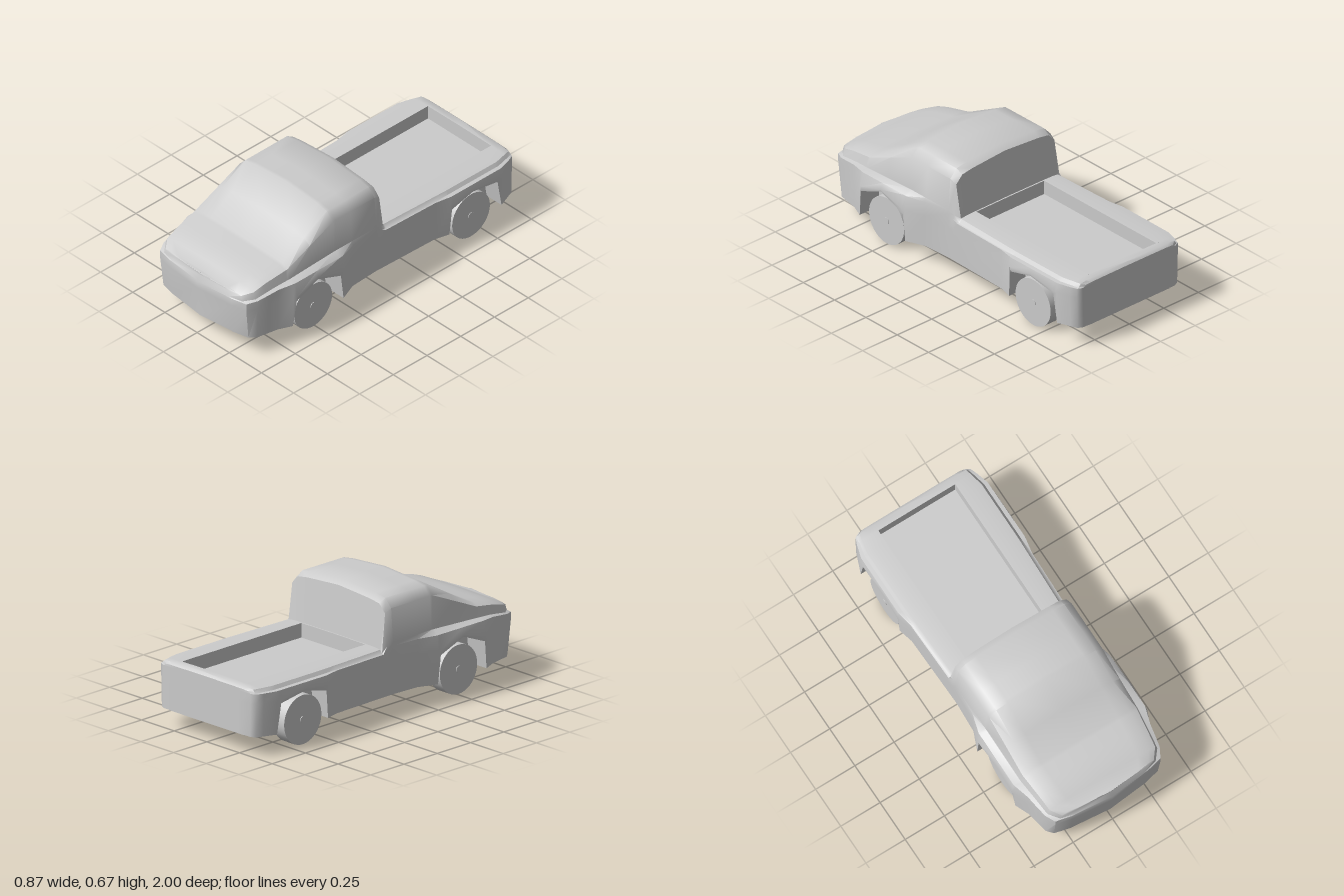
import * as THREE from 'three';
import { toCreasedNormals } from 'three/addons/utils/BufferGeometryUtils.js';

const FLOOR = 0.108, WELL_X = 0.29;
const BED = { x: 0.245, y: 0.3, front: -0.05, back: -0.945 };
const grey = new THREE.MeshStandardMaterial({ color: 0xcccccc });

// Outline curves along the truck, as [z, value] from nose to tail
const flank = [[0.955, 0.335], [0.9, 0.365], [0.77, 0.39], [0.67, 0.433], [0.32, 0.43], [0.21, 0.385],
  [0.03, 0.375], [-0.4, 0.386], [-0.5, 0.412], [-0.87, 0.41], [-0.985, 0.365], [-1, 0.335]];
const arches = [[0.69, 0.11], [0.67, 0.27], [0.51, 0.335], [0.34, 0.27], [0.32, 0.11],
  [-0.485, 0.11], [-0.5, 0.27], [-0.66, 0.31], [-0.84, 0.28], [-0.87, 0.11]];
const topLine = [[0.955, 0.39], [0.9, 0.415], [0.83, 0.44], [0.67, 0.475], [0.34, 0.672],
  [0.03, 0.674], [-0.01, 0.65], [-0.042, 0.384], [-0.985, 0.384], [-1, 0.37]];
const shoulderLine = [[0.955, 0.345], [0.77, 0.375], [0.67, 0.385], [0.03, 0.385], [-0.042, 0.355]];
const roofScale = [[0.955, 0.8], [0.9, 0.92], [0.67, 0.99], [0.03, 0.99], [-0.042, 0.96],
  [-0.5, 1], [-0.87, 1], [-0.985, 0.93], [-1, 0.86]];

// Value of a curve at z, held constant beyond its ends
function at(curve, z) {
  const i = curve.findIndex(([cz]) => cz <= z);
  if (i === 0) return curve[0][1];
  if (i < 0) return curve[curve.length - 1][1];
  const [z0, v0] = curve[i - 1], [z1, v1] = curve[i];
  return THREE.MathUtils.mapLinear(z, z0, z1, v0, v1);
}

// Half section from floor centre, by wheel well, flank and shoulder, to roof centre or bed
function halfSection(z, open) {
  const arch = at(arches, z), w = at(flank, z), s = at(roofScale, z);
  const top = at(topLine, z), shoulder = at(shoulderLine, z), h = top - shoulder;
  const rimX = BED.x * s, rimY = shoulder + 0.94 * h;
  return [
    [0, FLOOR], [WELL_X, FLOOR], [WELL_X, arch], [w - 0.005, arch],
    [w, Math.max(0.3, arch + 0.015)], [Math.min(w, 0.385 + (w - 0.385) * 0.7), shoulder],
    [0.38 * s, shoulder + 0.08 * h], [0.365 * s, shoulder + 0.735 * h],
    [0.32 * s, shoulder + 0.9 * h], [open ? BED.x : rimX, rimY],
    [open ? BED.x : rimX, open ? BED.y : rimY], [0, open ? BED.y : top],
  ].map(([x, y]) => new THREE.Vector3(x, y, z));
}

const mirror = (p) => new THREE.Vector3(-p.x, p.y, p.z);

function createBody() {
  // A section at every bend of the curves, doubled at both ends of the bed
  const bends = [flank, arches, topLine, shoulderLine, roofScale].flat().map(([z]) => z);
  const zs = [...new Set([...bends, BED.front, BED.back])].sort((a, b) => b - a);
  const halves = zs.flatMap((z) => {
    if (z === BED.front) return [halfSection(z, false), halfSection(z, true)];
    if (z === BED.back) return [halfSection(z, true), halfSection(z, false)];
    return [halfSection(z, z < BED.front && z > BED.back)];
  });
  // The nose tucks in towards the bottom
  halves[0].forEach((p) => { if (p.y < 0.2) p.z -= 0.02; });

  const pos = [];
  const tri = (a, b, c) => {
    const area = b.clone().sub(a).cross(c.clone().sub(a)).length();
    if (area > 1e-7) [a, b, c].forEach((p) => pos.push(p.x, p.y, p.z));
  };
  const quadPair = (corners) => {
    for (const [a, b, c, d] of [corners, corners.map(mirror).reverse()]) {
      tri(a, b, c);
      tri(a, c, d);
    }
  };

  // Skin between neighbouring sections
  for (let j = 0; j < halves.length - 1; j++) {
    const p = halves[j], q = halves[j + 1];
    for (let i = 0; i < p.length - 1; i++) quadPair([p[i], q[i], q[i + 1], p[i + 1]]);
  }
  // Nose bowed forward at the centre, and flat tail
  const closeEnd = (half, bow, front) => {
    const inward = (p, t) => new THREE.Vector3(p.x * t, p.y,
      p.z + bow * (1 - t * t) * (p.y > 0.35 ? 0.6 : 1));
    for (let i = 0; i < half.length - 1; i++) {
      for (const [t0, t1] of [[0, 0.72], [0.72, 1]]) {
        const face = [inward(half[i], t0), inward(half[i], t1),
          inward(half[i + 1], t1), inward(half[i + 1], t0)];
        quadPair(front ? face : face.reverse());
      }
    }
  };
  closeEnd(halves[0], 0.045, true);
  closeEnd(halves[halves.length - 1], 0, false);

  const geo = new THREE.BufferGeometry();
  geo.setAttribute('position', new THREE.Float32BufferAttribute(pos, 3));
  const body = new THREE.Mesh(toCreasedNormals(geo, 0.75), grey);
  body.name = 'body';
  return body;
}

function createWheel(side, z) {
  const wheel = new THREE.Group();
  wheel.name = (z > 0 ? 'front' : 'rear') + (side > 0 ? 'Left' : 'Right') + 'Wheel';
  const disc = (name, r, width, x) => {
    const mesh = new THREE.Mesh(new THREE.CylinderGeometry(r, r, width, 40), grey);
    mesh.rotation.z = Math.PI / 2;
    mesh.position.x = x * side;
    mesh.name = name;
    wheel.add(mesh);
  };
  disc('tyre', 0.14, 0.083, 0);
  disc('hub', 0.02, 0.008, 0.041);
  wheel.position.set(0.3465 * side, 0.14, z);
  return wheel;
}

// Thin raised ribs following a closed outline on the underside
function createRibs(name, outline) {
  const ribs = new THREE.Group();
  ribs.name = name;
  outline.forEach(([x, z], i) => {
    const [x2, z2] = outline[(i + 1) % outline.length];
    const rib = new THREE.Mesh(
      new THREE.BoxGeometry(0.014, 0.01, Math.hypot(x2 - x, z2 - z) + 0.01), grey);
    rib.position.set((x + x2) / 2, 0.106, (z + z2) / 2);
    rib.rotation.y = Math.atan2(x2 - x, z2 - z);
    ribs.add(rib);
  });
  return ribs;
}

export function createModel() {
  const truck = new THREE.Group();
  truck.name = 'pickupTruck';
  truck.add(createBody());
  const sideRibs = [[0.24, 0.28], [0.08, 0], [0.08, -0.14], [0.19, -0.46], [0.31, -0.46], [0.33, 0.24]];
  for (const side of [1, -1]) {
    for (const z of [0.51, -0.66]) truck.add(createWheel(side, z));
    truck.add(createRibs(side > 0 ? 'leftUndersideRibs' : 'rightUndersideRibs',
      sideRibs.map(([x, z]) => [x * side, z])));
  }
  truck.add(createRibs('centreUndersideRibs', [[0.06, -0.01], [0.06, -0.13], [-0.06, -0.13], [-0.06, -0.01]]));
  return truck;
}
